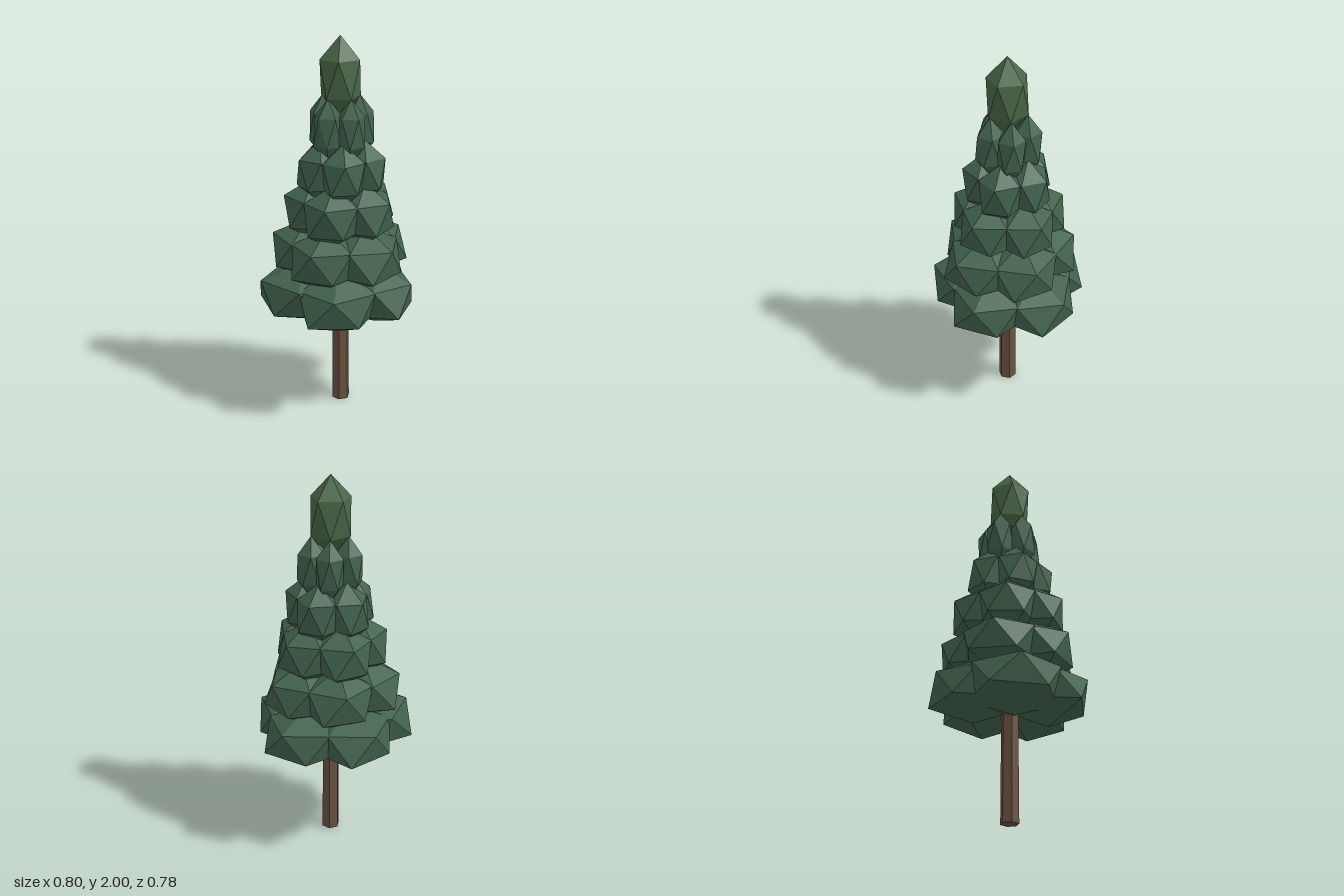
import * as THREE from 'three';

const material = (color) => new THREE.MeshStandardMaterial({ color, flatShading: true });

// Unit icosahedron standing on a vertex, upper ring starting at +x.
// bulge pushes out one lower corner so the clumps look less regular.
function clumpGeometry(bulge = 1) {
  const g = new THREE.IcosahedronGeometry(1, 0);
  g.rotateX(-Math.atan((1 + Math.sqrt(5)) / 2));
  g.rotateY(Math.PI / 2);
  const p = g.attributes.position;
  for (let i = 0; i < p.count; i++) {
    const x = p.getX(i), y = p.getY(i), z = p.getZ(i);
    if (y < 0 && x > 0.5 && z > 0.3) p.setXYZ(i, x * bulge, y, z * bulge);
  }
  g.computeVertexNormals();
  return g;
}

export function createModel() {
  const tree = new THREE.Group();
  tree.name = 'conifer';
  const axis = -0.01;

  // Six-sided trunk
  const trunk = new THREE.Mesh(new THREE.CylinderGeometry(0.044, 0.048, 0.7, 6), material(0x6a5341));
  trunk.name = 'trunk';
  trunk.position.set(axis, 0.35, 0);
  tree.add(trunk);

  // Tiers of five clumps: centre height, outer radius, turn in degrees,
  // clump radius, corner bulge, relative size of each clump
  const tiers = [
    { y: 0.655, outer: 0.405, turn: 0, r: 0.231, bulge: 1.12, sizes: [1, 0.95, 1, 1.13, 1] },
    { y: 0.87, outer: 0.35, turn: 21, r: 0.2, bulge: 1.12, sizes: [1, 1.05, 1, 1.08, 1] },
    { y: 1.097, outer: 0.296, turn: 11, r: 0.167, bulge: 1.08, sizes: [1, 1, 1, 1, 1] },
    { y: 1.308, outer: 0.231, turn: -10, r: 0.125, bulge: 1.08, sizes: [1, 1, 1, 1, 1] },
    { y: 1.53, outer: 0.17, turn: 36, r: 0.08, bulge: 1.08, sizes: [1, 1, 1, 1, 1] },
  ];
  const leaf = material(0x42634d);
  tiers.forEach(({ y, outer, turn, r, bulge, sizes }, t) => {
    const tier = new THREE.Group();
    tier.name = `foliageTier${t + 1}`;
    tier.position.set(axis / 2, y, 0);
    const clump = clumpGeometry(bulge);
    const reach = outer - 0.894 * r;
    sizes.forEach((size, k) => {
      const a = THREE.MathUtils.degToRad(turn + 72 * k);
      const m = new THREE.Mesh(clump, leaf);
      m.name = 'foliageClump';
      m.position.set(Math.cos(a) * reach, 0, Math.sin(a) * reach);
      m.rotation.y = -a;
      m.scale.set(r * size, 0.167, r * size);
      tier.add(m);
    });
    tree.add(tier);
  });

  // Pointed crown
  const tip = new THREE.Mesh(clumpGeometry(), material(0x4a6748));
  tip.name = 'treeTip';
  tip.position.set(axis, 1.788, 0);
  tip.scale.set(0.118, 0.212, 0.118);
  tree.add(tip);

  return tree;
}
